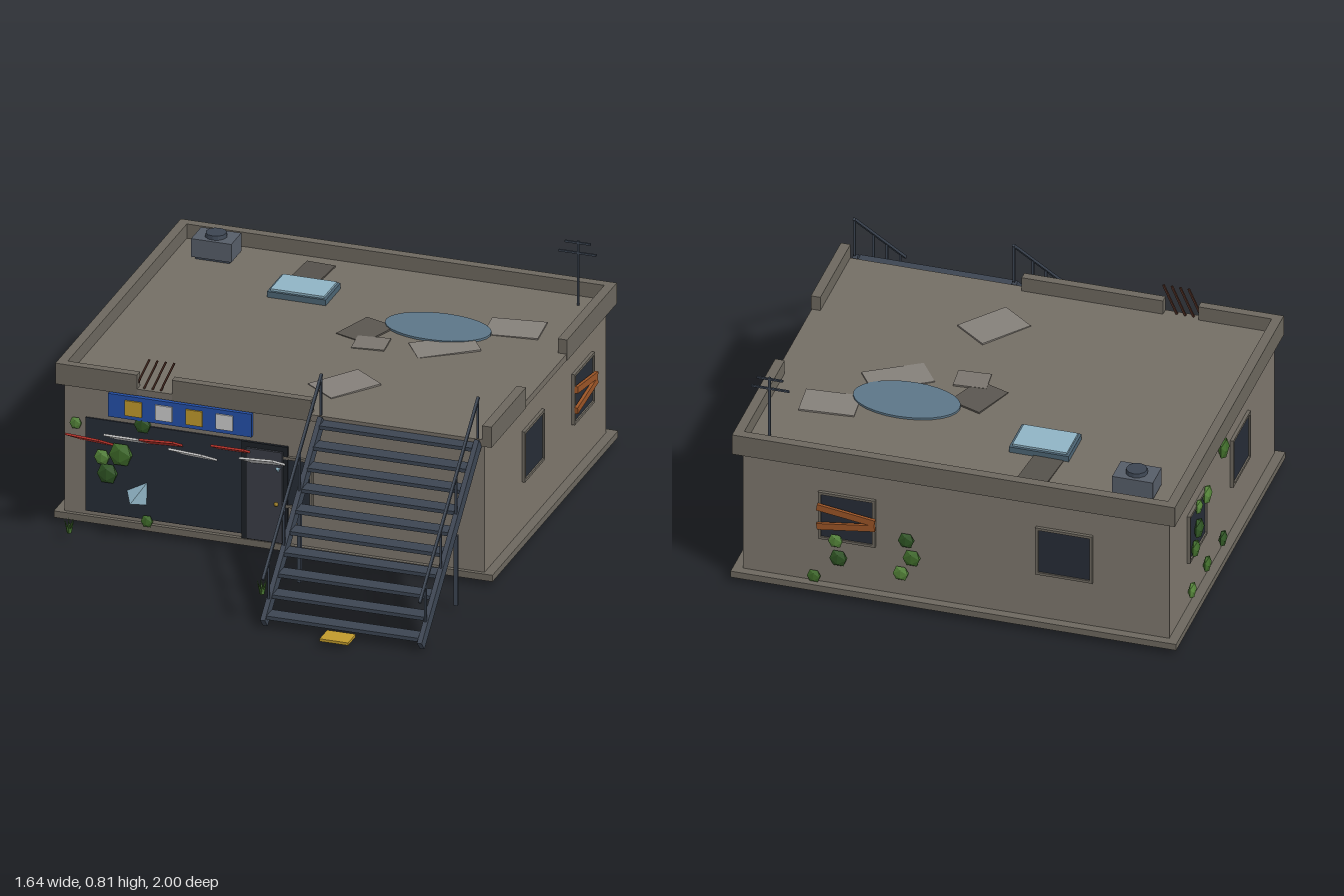
import * as THREE from 'three';

const mats = {};
const mat = (color) => (mats[color] ??= new THREE.MeshStandardMaterial({ color, flatShading: true, side: THREE.DoubleSide }));
const WALL = 0x7d766c, ROOF = 0x746e65, TRIM = 0x6c675e, STEEL = 0x3c4552, GLASS = 0x262c36, PALE = 0x8fb3c4;
const RED = 0xb8322a, WHITE = 0xcccccc, WOOD = 0x9a5426, YELLOW = 0xc09a2c, GREENS = [0x3f6b2a, 0x55853a, 0x2f5524];

export function createModel() {
  const root = new THREE.Group();

  function add(name, geo, color, x = 0, y = 0, z = 0, parent = root) {
    const m = new THREE.Mesh(geo, mat(color));
    m.name = name;
    m.position.set(x, y, z);
    parent.add(m);
    return m;
  }
  const group = (name, parent = root) => {
    const g = new THREE.Group();
    g.name = name;
    parent.add(g);
    return g;
  };
  // box given by its limits on each axis
  const span = (name, color, x0, x1, y0, y1, z0, z1, parent) =>
    add(name, new THREE.BoxGeometry(x1 - x0, y1 - y0, z1 - z0), color, (x0 + x1) / 2, (y0 + y1) / 2, (z0 + z1) / 2, parent);
  // bar of rectangular section between two points
  function bar(name, color, a, b, w, h, parent) {
    const p = new THREE.Vector3(...a), q = new THREE.Vector3(...b);
    const m = add(name, new THREE.BoxGeometry(w, h, p.distanceTo(q)), color, 0, 0, 0, parent);
    m.position.copy(p).add(q).multiplyScalar(0.5);
    m.lookAt(q);
    return m;
  }

  // shell
  span('baseSlab', TRIM, -0.82, 0.82, 0.02, 0.045, -1, 0.315);
  span('walls', WALL, -0.785, 0.785, 0.045, 0.54, -0.968, 0.3);
  span('roofSlab', ROOF, -0.812, 0.812, 0.535, 0.56, -0.995, 0.31);

  // broken parapet
  const parapet = group('parapet');
  [
    [-0.815, 0.815, -1, -0.965],
    [-0.815, -0.78, -0.965, 0.312],
    [0.78, 0.815, -0.965, -0.48],
    [0.78, 0.815, -0.05, 0.312],
    [-0.78, -0.51, 0.28, 0.312],
    [-0.38, 0.14, 0.28, 0.312],
  ].forEach(([x0, x1, z0, z1]) => span('parapetWall', TRIM, x0, x1, 0.535, 0.615, z0, z1, parapet));
  for (let i = 0; i < 4; i++) {
    const x = -0.505 + i * 0.031;
    bar('rebar', 0x4a2c22, [x - 0.015, 0.56, 0.295], [x + 0.035, 0.673, 0.295], 0.007, 0.007);
  }

  // windows, built facing +z and turned to their wall
  function windowAt(x, y, z, turn, boarded) {
    const g = group('window');
    g.position.set(x, y, z);
    g.rotation.y = turn;
    for (const s of [-1, 1]) {
      add('frameSide', new THREE.BoxGeometry(0.01, 0.195, 0.016), TRIM, s * 0.1, 0, 0.004, g);
      add('frameRail', new THREE.BoxGeometry(0.21, 0.01, 0.016), TRIM, 0, s * 0.0925, 0.004, g);
    }
    add('pane', new THREE.BoxGeometry(0.19, 0.175, 0.01), GLASS, 0, 0, 0.001, g);
    if (!boarded) return;
    for (const s of [-1, 1]) {
      const b = add('board', new THREE.BoxGeometry(0.215, 0.025, 0.012), WOOD, 0, s * 0.025, 0.018, g);
      b.rotation.z = -s * 0.14;
    }
  }
  windowAt(0.785, 0.325, -0.195, Math.PI / 2, false);
  windowAt(0.785, 0.325, -0.715, Math.PI / 2, true);
  windowAt(-0.785, 0.325, -0.13, -Math.PI / 2, false);
  windowAt(-0.785, 0.325, -0.65, -Math.PI / 2, false);
  windowAt(0.4, 0.325, -0.968, Math.PI, true);
  windowAt(-0.4, 0.325, -0.968, Math.PI, false);
  windowAt(0.04, 0.285, 0.3, 0, false);

  // shop front
  span('shopGlass', GLASS, -0.705, -0.115, 0.06, 0.42, 0.295, 0.306);
  span('doorway', 0x1c2026, -0.12, 0.052, 0.045, 0.42, 0.295, 0.311);
  span('door', 0x3a3d46, -0.1, 0.035, 0.05, 0.4, 0.305, 0.32);
  add('doorKnob', new THREE.IcosahedronGeometry(0.008, 1), YELLOW, 0.014, 0.2, 0.324);
  const shards = [[-0.5, 0.16, 0.36, 0.05, 0.11], [0.02, 0.335, 0.32, 0.024, 0.03]];
  shards.forEach(([x, y, z, r, h], i) => {
    const s = add('glassShard', new THREE.ConeGeometry(r, h, 3), PALE, x, y, z);
    s.rotation.set(Math.PI / 2, i ? 0 : 0.5, 0);
  });

  // sign with plain coloured squares
  span('signBoard', 0x2450a8, -0.615, -0.08, 0.443, 0.532, 0.3, 0.32);
  for (let i = 0; i < 4; i++)
    add('signSquare', new THREE.BoxGeometry(0.063, 0.058, 0.008), i % 2 ? WHITE : YELLOW, -0.52 + i * 0.1135, 0.487, 0.322);

  // ragged awning strips, tipped up at the outer edge
  const awning = group('awning');
  [0.47, 0.425, 0.415, 0.47, 0.385, 0.445].forEach((zo, i) => {
    const x = -0.66 + i * 0.1282;
    const m = bar('awningStrip', i % 2 ? WHITE : RED, [x, 0.42 - (zo - 0.305) * 0.53, 0.305], [x, 0.42, zo], 0.125, 0.008, awning);
    m.rotateZ((i % 3 - 1) * 0.05);
  });

  // steel stair
  const stair = group('stair');
  for (let i = 0; i < 10; i++)
    add('tread', new THREE.BoxGeometry(0.57, 0.014, 0.06), STEEL, 0.473, 0.04 + i * 0.0555, 0.885 - i * 0.0615, stair);
  const railY = (z) => 0.19 + (0.925 - z) * 0.87;
  for (const x of [0.18, 0.766]) {
    bar('stringer', STEEL, [x, 0.018, 0.915], [x, 0.55, 0.315], 0.018, 0.045, stair);
    bar('handrail', STEEL, [x, railY(0.925), 0.925], [x, railY(0.312), 0.312], 0.01, 0.01, stair);
    for (const z of [0.865, 0.705, 0.545, 0.318])
      span('baluster', STEEL, x - 0.004, x + 0.004, railY(z) - 0.15, railY(z), z - 0.004, z + 0.004, stair);
    span('supportPost', STEEL, x - 0.007, x + 0.007, 0.02, 0.29, 0.538, 0.552, stair);
  }
  span('doormat', YELLOW, 0.418, 0.525, 0.02, 0.03, 0.92, 1);

  // rooftop equipment
  const cooler = group('airConditioner');
  span('coolerFeet', STEEL, -0.695, -0.565, 0.56, 0.575, -0.895, -0.81, cooler);
  span('coolerBody', 0x565d68, -0.705, -0.555, 0.57, 0.64, -0.905, -0.8, cooler);
  add('coolerFan', new THREE.CylinderGeometry(0.037, 0.04, 0.016, 12), STEEL, -0.63, 0.647, -0.852, cooler);
  span('skylightFrame', 0x4c6473, -0.345, -0.125, 0.56, 0.582, -0.74, -0.585);
  span('skylightPane', PALE, -0.335, -0.135, 0.58, 0.59, -0.73, -0.595);
  const antenna = group('antenna');
  span('mast', STEEL, 0.706, 0.714, 0.56, 0.808, -0.894, -0.886, antenna);
  span('upperArm', STEEL, 0.66, 0.757, 0.797, 0.804, -0.8935, -0.8865, antenna);
  span('lowerArm', STEEL, 0.637, 0.778, 0.758, 0.765, -0.8935, -0.8865, antenna);

  // puddle and loose roof sheets
  const puddle = add('puddle', new THREE.CylinderGeometry(1, 1, 1, 28), 0x5c7688, 0.315, 0.566, -0.53);
  puddle.scale.set(0.195, 0.008, 0.115);
  [
    [0.57, -0.62, 0.2, 0.14, 0.1, 0x85807a],
    [0.39, -0.39, 0.23, 0.13, 0.6, 0x85807a],
    [0.08, -0.43, 0.13, 0.17, -0.35, 0x5a5650],
    [0.135, -0.33, 0.12, 0.1, 0.1, 0x7a756e],
    [0.165, 0.03, 0.15, 0.21, -0.65, 0x85807a],
    [-0.265, -0.82, 0.11, 0.18, -0.08, 0x55514b],
  ].forEach(([x, z, w, d, turn, color]) => {
    const s = add('roofSheet', new THREE.BoxGeometry(w, 0.006, d), color, x, 0.562, z);
    s.rotation.set(0.02, turn, 0.015);
  });

  // creeper leaves: x, y, z, radius, thin axis
  const creeper = group('creeper');
  [
    [-0.57, 0.3, 0.315, 0.048, 'z'], [-0.64, 0.28, 0.315, 0.032, 'z'], [-0.62, 0.22, 0.315, 0.042, 'z'],
    [-0.47, 0.06, 0.32, 0.025, 'z'], [-0.74, 0.395, 0.31, 0.025, 'z'], [-0.49, 0.425, 0.31, 0.035, 'z'],
    [-0.8, 0.47, -0.36, 0.042, 'x'], [-0.8, 0.4, -0.56, 0.038, 'x'], [-0.8, 0.32, -0.66, 0.04, 'x'],
    [-0.8, 0.26, -0.7, 0.035, 'x'], [-0.8, 0.41, -0.66, 0.03, 'x'], [-0.8, 0.1, -0.37, 0.033, 'x'],
    [-0.8, 0.11, -0.56, 0.033, 'x'], [-0.8, 0.11, -0.74, 0.033, 'x'],
    [0.18, 0.28, -0.98, 0.033, 'z'], [0.16, 0.21, -0.98, 0.036, 'z'], [0.2, 0.14, -0.98, 0.032, 'z'],
    [0.43, 0.16, -0.98, 0.036, 'z'], [0.52, 0.07, -0.98, 0.028, 'z'], [0.44, 0.23, -0.98, 0.03, 'z'],
  ].forEach(([x, y, z, r, thin], i) => {
    const leaf = add('leaf', new THREE.IcosahedronGeometry(r, 0), GREENS[i % 3], x, y, z, creeper);
    leaf.scale[thin] = 0.4;
  });

  // grass tufts
  for (const [x, z] of [[0.09, 0.685], [-0.725, 0.42]]) {
    const tuft = group('grassTuft');
    tuft.position.set(x, 0.02, z);
    for (let i = 0; i < 6; i++) {
      const a = (i / 6) * Math.PI * 2;
      const blade = add('blade', new THREE.ConeGeometry(0.006, 0.055, 4), GREENS[i % 2], Math.cos(a) * 0.011, 0.027, Math.sin(a) * 0.011, tuft);
      blade.rotation.set(Math.sin(a) * 0.3, 0, -Math.cos(a) * 0.3);
    }
  }
  return root;
}
